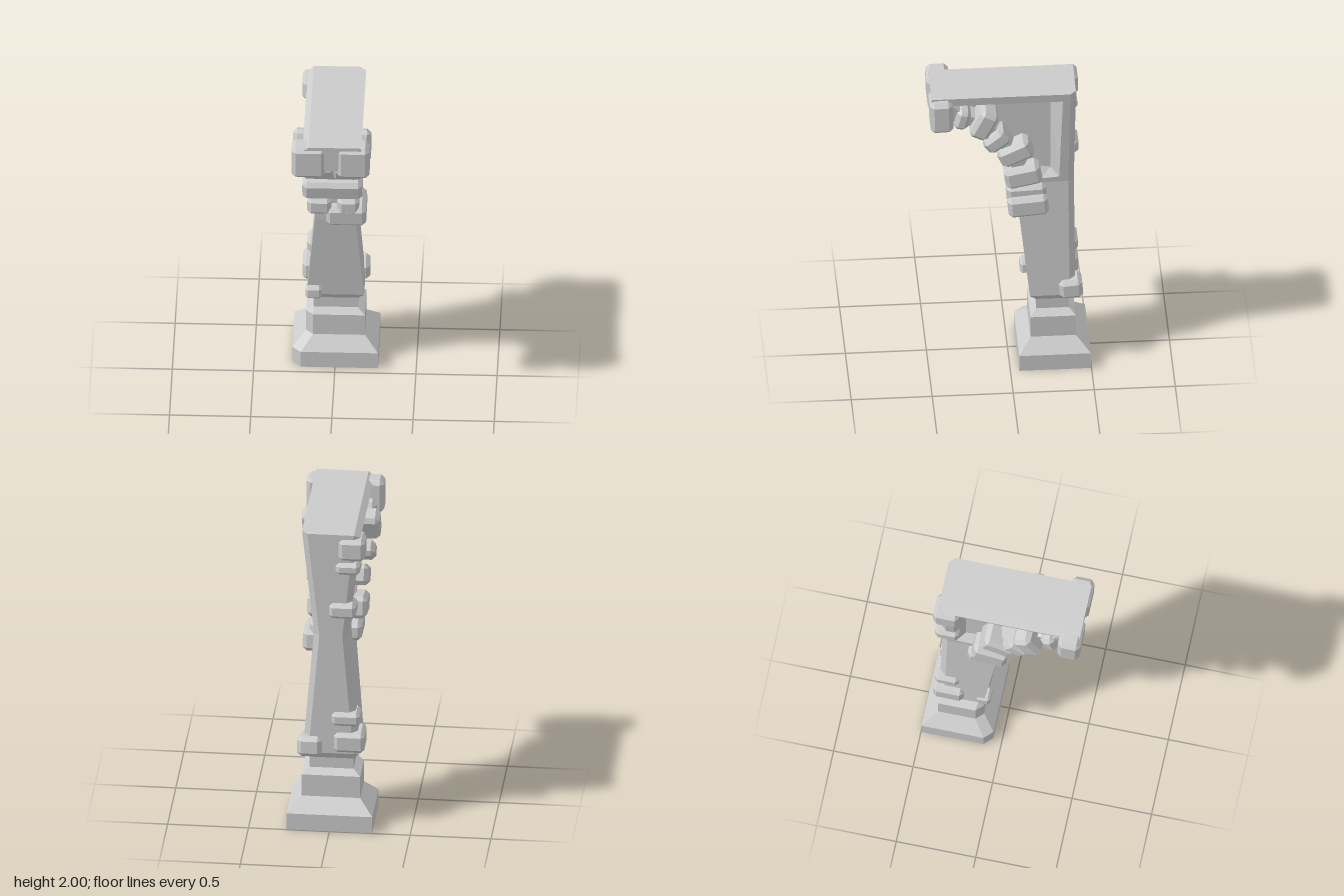
import * as THREE from 'three';
import { ConvexGeometry } from 'three/addons/geometries/ConvexGeometry.js';

const material = new THREE.MeshStandardMaterial({ color: 0xcccccc, flatShading: true });

function add(parent, name, geometry) {
  const mesh = new THREE.Mesh(geometry, material);
  mesh.name = name;
  parent.add(mesh);
  return mesh;
}

// Collects loose triangles into a faceted geometry
function builder() {
  const out = [];
  const tri = (a, b, c, flip) => out.push(...a, ...(flip ? c : b), ...(flip ? b : c));
  const quad = (a, b, c, d, flip) => { tri(a, b, c, flip); tri(a, c, d, flip); };
  const finish = () => {
    const g = new THREE.BufferGeometry();
    g.setAttribute('position', new THREE.Float32BufferAttribute(out, 3));
    g.computeVertexNormals();
    return g;
  };
  return { tri, quad, finish };
}

// Rectangular rings [y, half width, front z, back z, cut of the worn front corner] stacked upward
function stackedRings(rings) {
  const b = builder();
  const loops = rings.map(([y, w, zf, zb, c]) =>
    [[w, y, zf], [w, y, zb], [-w, y, zb], [-w, y, zf - c], [-w + c, y, zf]]);
  for (let k = 0; k + 1 < loops.length; k++)
    for (let i = 0; i < 5; i++) {
      const j = (i + 1) % 5;
      b.quad(loops[k][i], loops[k][j], loops[k + 1][j], loops[k + 1][i]);
    }
  const lo = loops[0], hi = loops[loops.length - 1];
  for (let i = 1; i < 4; i++) {
    b.tri(lo[0], lo[i + 1], lo[i]);
    b.tri(hi[0], hi[i], hi[i + 1]);
  }
  return b.finish();
}

// Side profile of [z, y, kind] spanning both sides; halfWidth(y) tapers it.
// kind 'back' bevels the rear edges, 'top' wears the right-hand top edge.
function taperedProfile(profile, halfWidth, recess) {
  const b = builder();
  const side = ([z, y, kind = ''], s) => {
    const worn = kind.includes('top') && s < 0;
    return [s * halfWidth(y), worn ? y - 0.03 : y, kind.includes('back') ? z + 0.037 : z];
  };
  const mid = ([z, y, kind = ''], s) => {
    const cut = kind.includes('back') || (kind.includes('top') && s < 0) ? 0.037 : 0;
    return [s * (halfWidth(y) - cut), y, z];
  };
  const flat = (p) => new THREE.Vector2(-p[2], p[1]);
  const n = profile.length;
  for (let i = 0; i < n; i++) {
    const p = profile[i], q = profile[(i + 1) % n];
    const P = [side(p, 1), mid(p, 1), mid(p, -1), side(p, -1)];
    const Q = [side(q, 1), mid(q, 1), mid(q, -1), side(q, -1)];
    for (let k = 0; k < 3; k++) b.quad(P[k], P[k + 1], Q[k + 1], Q[k]);
  }
  for (const s of [1, -1]) {
    const rim = profile.map((p) => side(p, s));
    const hole = recess ? recess.outer.map((p) => side(p, s)) : [];
    const all = [...rim, ...hole];
    const faces = THREE.ShapeUtils.triangulateShape(rim.map(flat), recess ? [hole.map(flat)] : []);
    for (const [i, j, k] of faces) b.tri(all[i], all[j], all[k], s < 0);
    if (!recess) continue;
    const floor = recess.inner.map(([z, y]) => [s * recess.x, y, z]);
    for (let i = 0; i < floor.length; i++) {
      const j = (i + 1) % floor.length;
      b.quad(hole[i], hole[j], floor[j], floor[i], s < 0);
    }
    for (const [i, j, k] of THREE.ShapeUtils.triangulateShape(floor.map(flat), []))
      b.tri(floor[i], floor[j], floor[k], s < 0);
  }
  return b.finish();
}

// Block with all edges and corners chamfered
function stoneGeometry(w, h, d, c) {
  const pts = [];
  for (const x of [-w / 2, w / 2]) for (const y of [-h / 2, h / 2]) for (const z of [-d / 2, d / 2]) {
    const ix = x - Math.sign(x) * c, iy = y - Math.sign(y) * c, iz = z - Math.sign(z) * c;
    pts.push(new THREE.Vector3(x, iy, iz), new THREE.Vector3(ix, y, iz), new THREE.Vector3(ix, iy, z));
  }
  return new ConvexGeometry(pts);
}

function stone(parent, name, x0, x1, y, z, h, d, tilt = 0, c = 0.026) {
  const mesh = add(parent, name, stoneGeometry(x1 - x0, h, d, c));
  mesh.position.set((x0 + x1) / 2, y, z);
  mesh.rotation.x = tilt;
}

export function createModel() {
  const model = new THREE.Group();
  model.name = 'bracketPillar';

  // Stepped foot with a narrow neck
  add(model, 'steppedBase', stackedRings([
    [0, 0.265, -0.055, -0.497, 0.053], [0.11, 0.265, -0.055, -0.497, 0.053],
    [0.195, 0.182, -0.13, -0.41, 0.045], [0.34, 0.182, -0.13, -0.41, 0.045],
    [0.375, 0.137, -0.168, -0.37, 0], [0.445, 0.137, -0.168, -0.37, 0],
    [0.495, 0.177, -0.127, -0.4, 0],
  ]));

  // Shaft tapering up to the waist
  const waist = 1.3, waistWidth = 0.108;
  add(model, 'shaft', taperedProfile(
    [[-0.127, 0.495], [-0.41, 0.495, 'back'], [-0.405, waist, 'back'], [-0.05, waist], [-0.06, 1.1]],
    (y) => THREE.MathUtils.mapLinear(y, 0.495, waist, 0.177, waistWidth)));

  // Bracket flaring out to the top, with a recessed panel on each side
  add(model, 'bracket', taperedProfile(
    [[-0.05, waist], [-0.405, waist, 'back'], [-0.413, 2, 'back top'], [0.48, 2, 'top'], [0.47, 1.82],
      [0.33, 1.81], [0.2, 1.76], [0.11, 1.67], [0.03, 1.55], [-0.02, 1.42]],
    (y) => THREE.MathUtils.mapLinear(y, waist, 2, waistWidth, 0.181),
    {
      x: 0.065,
      outer: [[-0.2, 1.33], [-0.312, 1.34], [-0.33, 1.945], [0.36, 1.945], [0.26, 1.86],
        [0.15, 1.81], [0.05, 1.71], [-0.04, 1.57], [-0.1, 1.43]],
      inner: [[-0.2, 1.395], [-0.26, 1.385], [-0.26, 1.89], [0.29, 1.89], [0.24, 1.865],
        [0.13, 1.82], [0.03, 1.72], [-0.06, 1.58], [-0.12, 1.45]],
    }));

  // Stones along the arch: right x range, left x range, y, z, thickness, length, tilt
  const arch = new THREE.Group();
  arch.name = 'archStones';
  model.add(arch);
  [
    [[-0.25, -0.04], [0.03, 0.23], 1.88, 0.42, 0.14, 0.22, 1.6],
    [[-0.215, -0.03], [0.02, 0.2], 1.837, 0.29, 0.09, 0.14, 1.32],
    [[-0.25, -0.035], [0.025, 0.23], 1.805, 0.158, 0.125, 0.2, 1.1],
    [[-0.23, -0.03], [0.02, 0.208], 1.665, 0.08, 0.11, 0.16, 0.68],
    [[-0.203, 0], [-0.015, 0.18], 1.55, -0.04, 0.13, 0.215, 0.45],
    [[-0.2, 0.17], null, 1.37, -0.087, 0.14, 0.225, 0.2],
    [[-0.172, -0.02], [0.015, 0.15], 1.235, -0.11, 0.12, 0.245, 0.04],
    [null, [-0.055, 0.193], 1.162, -0.117, 0.14, 0.25, 0.08],
  ].forEach(([right, left, y, z, h, d, tilt]) => {
    if (right) stone(arch, 'archStoneRight', ...right, y, z, h, d, tilt);
    if (left) stone(arch, 'archStoneLeft', ...left, y, z, h, d, tilt);
  });

  // Quoins up the right rear corner: x range, y, z, height, depth
  const quoins = new THREE.Group();
  quoins.name = 'cornerStones';
  model.add(quoins);
  [
    [-0.21, -0.05, 1.9, -0.36, 0.14, 0.16],
    [-0.18, -0.03, 1.77, -0.365, 0.08, 0.14],
    [-0.155, 0.01, 1.48, -0.365, 0.1, 0.15],
    [-0.18, -0.005, 0.735, -0.36, 0.09, 0.155],
    [-0.208, -0.02, 0.575, -0.345, 0.13, 0.19],
  ].forEach((q) => stone(quoins, 'rearCornerStone', ...q, 0, 0.022));
  stone(quoins, 'leftRearFootStone', 0.055, 0.207, 0.54, -0.38, 0.13, 0.145, 0.08);
  stone(quoins, 'frontFootStone', -0.183, -0.083, 0.523, -0.13, 0.085, 0.09, 0, 0.016);

  return model;
}
